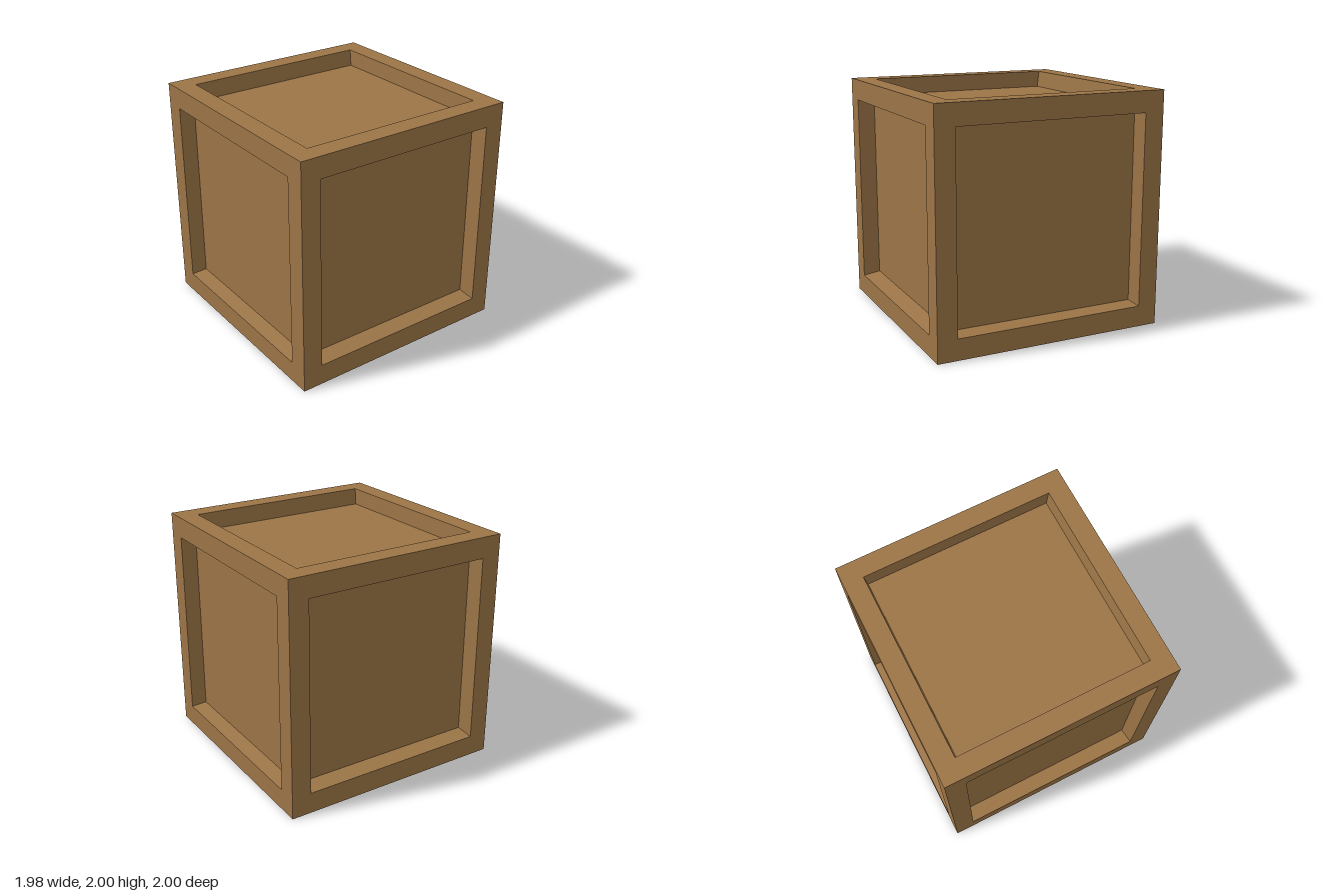
import * as THREE from 'three';

// One crate side facing +z: flat border, tapered recess walls and sunken panel.
// Each ring is [half width, half height, z], from the outside in.
function recessedSide(rings) {
  const loops = rings.map(([w, h, z]) => [[-w, -h, z], [w, -h, z], [w, h, z], [-w, h, z]]);
  const pos = [];
  const quad = (a, b, c, d) => pos.push(...a, ...b, ...c, ...a, ...c, ...d);
  for (let r = 0; r < loops.length - 1; r++) {
    for (let i = 0; i < 4; i++) {
      const j = (i + 1) % 4;
      quad(loops[r][i], loops[r][j], loops[r + 1][j], loops[r + 1][i]);
    }
  }
  quad(...loops[loops.length - 1]);
  const geometry = new THREE.BufferGeometry();
  geometry.setAttribute('position', new THREE.Float32BufferAttribute(pos, 3));
  geometry.computeVertexNormals();
  return geometry;
}

export function createModel() {
  const crate = new THREE.Group();
  crate.name = 'crate';
  const wood = new THREE.MeshStandardMaterial({ color: 0x9c7547 });
  wood.name = 'brown wood';

  const X = 0.99, Y = 1, Z = 1; // half extents
  const frontGeo = recessedSide([[X, Y, 0], [0.82, 0.82, 0], [0.805, 0.793, -0.145]]);
  const sideGeo = recessedSide([[Z, Y, 0], [0.83, 0.82, 0], [0.81, 0.8, -0.13]]);
  const topGeo = recessedSide([[X, Z, 0], [0.82, 0.83, 0], [0.818, 0.812, -0.145]]);

  // Place each side on its face of the crate
  const addSide = (name, geometry, position, rx, ry) => {
    const mesh = new THREE.Mesh(geometry, wood);
    mesh.name = name;
    mesh.position.set(...position);
    mesh.rotation.set(rx, ry, 0);
    crate.add(mesh);
  };
  const q = Math.PI / 2;
  addSide('frontSide', frontGeo, [0, Y, Z], 0, 0);
  addSide('backSide', frontGeo, [0, Y, -Z], 0, Math.PI);
  addSide('leftSide', sideGeo, [X, Y, 0], 0, q);
  addSide('rightSide', sideGeo, [-X, Y, 0], 0, -q);
  addSide('topSide', topGeo, [0, 2 * Y, 0], -q, 0);
  addSide('bottomSide', topGeo, [0, 0, 0], q, 0);
  return crate;
}
